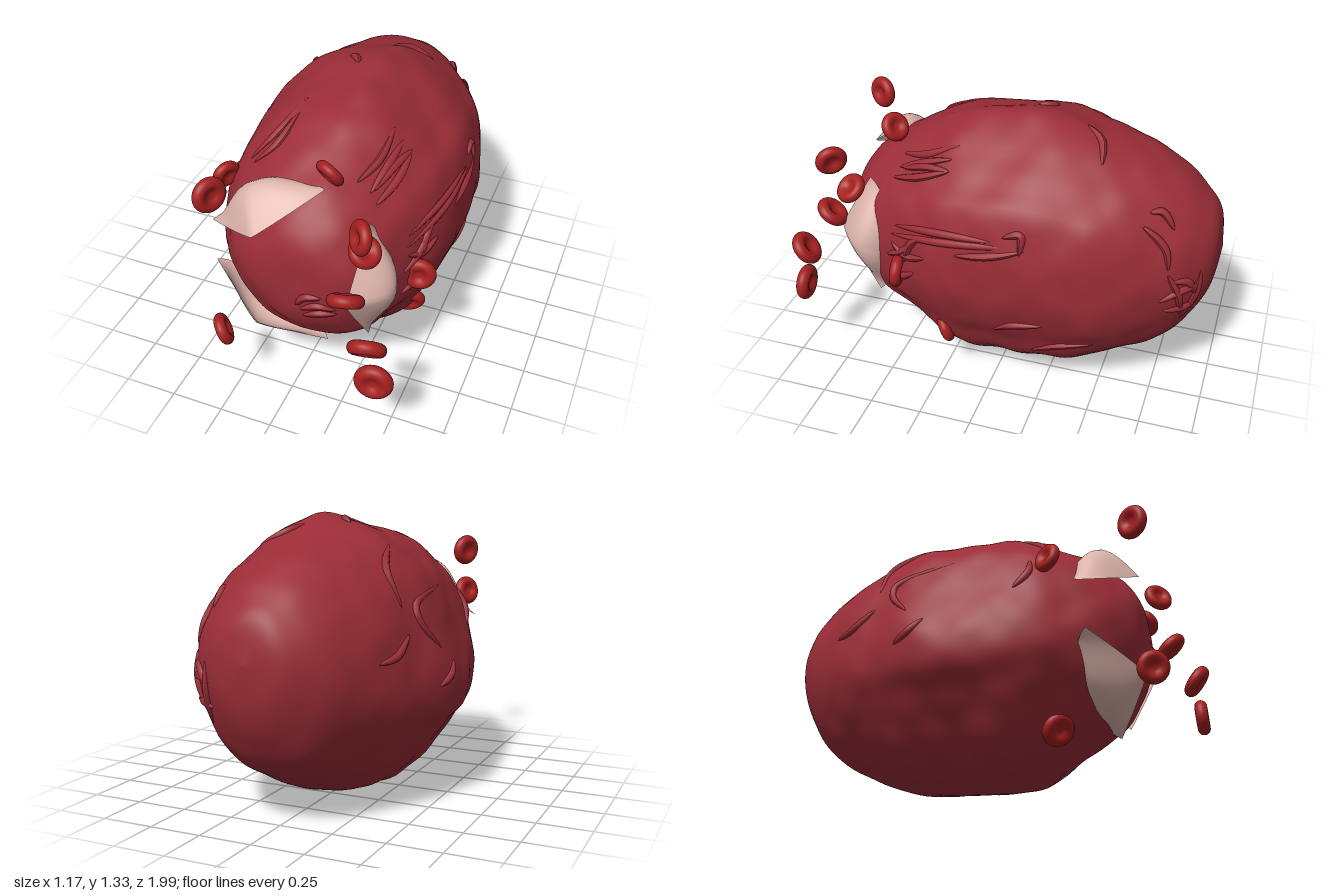
import * as THREE from 'three';

const clotRed = new THREE.MeshStandardMaterial({ color: 0x9b2d37, name: 'clotRed' });
const cellRed = new THREE.MeshStandardMaterial({ color: 0xa62020, name: 'cellRed' });
const flapPink = new THREE.MeshStandardMaterial({ color: 0xdeb6ad, name: 'flapPink', side: THREE.DoubleSide });

const CY = 0.67;

// Even lumps in all directions
const lumps = (x, y, z, f) => Math.sin(f * x + 1) * Math.cos(f * y)
  + Math.sin(f * y + 2) * Math.cos(f * z) + Math.sin(f * z + 3) * Math.cos(f * x);

// Lumpy mass: an uneven outline round the middle, easing to ellipses at the ends
function makeBody() {
  const outline = new THREE.CatmullRomCurve3([
    [0.585, 0.67], [0.568, 0.85], [0.51, 1.03], [0.42, 1.12], [0.31, 1.21], [0.12, 1.335], [-0.02, 1.31],
    [-0.19, 1.25], [-0.3, 1.18], [-0.4, 1.08], [-0.49, 0.88], [-0.545, 0.72], [-0.582, 0.58], [-0.565, 0.45],
    [-0.49, 0.345], [-0.42, 0.24], [-0.3, 0.1], [-0.19, 0.02], [0, 0.01], [0.13, 0.035], [0.29, 0.085],
    [0.4, 0.18], [0.47, 0.32], [0.54, 0.47],
  ].map(([x, y]) => new THREE.Vector3(x / 0.585, (y - CY) / 0.665, 0)), true);
  // z, left x, right x, bottom y, top y
  const stations = [
    [0.785, 0.06, 0.07, 0.67, 0.68], [0.765, -0.13, 0.22, 0.5, 0.87], [0.7, -0.25, 0.33, 0.37, 0.98],
    [0.6, -0.36, 0.41, 0.25, 1.07], [0.4, -0.49, 0.49, 0.125, 1.19], [0.2, -0.55, 0.56, 0.02, 1.28],
    [0, -0.575, 0.575, 0.01, 1.315], [-0.2, -0.565, 0.575, 0.025, 1.325], [-0.4, -0.505, 0.55, 0.06, 1.27],
    [-0.6, -0.43, 0.48, 0.145, 1.2], [-0.8, -0.32, 0.37, 0.26, 1.09], [-0.9, -0.23, 0.28, 0.39, 1.0],
    [-0.97, -0.13, 0.18, 0.54, 0.91], [-0.995, 0.02, 0.03, 0.74, 0.75],
  ];
  const centres = new THREE.CatmullRomCurve3(stations.map(([z, l, r, b, t]) =>
    new THREE.Vector3((l + r) / 2, (b + t) / 2, z)), false, 'catmullrom');
  const sizes = new THREE.CatmullRomCurve3(stations.map(([, l, r, b, t]) =>
    new THREE.Vector3((r - l) / 2, (t - b) / 2, 0)), false, 'catmullrom');
  const rings = 104, sides = 120, pos = [], index = [];
  for (let i = 0; i <= rings; i++) {
    const c = centres.getPoint(i / rings), s = sizes.getPoint(i / rings);
    const uneven = Math.exp(-Math.pow((c.z + 0.03) / 0.45, 2));
    for (let j = 0; j < sides; j++) {
      const o = outline.getPoint(j / sides);
      o.setLength(1 + (o.length() - 1) * uneven);
      const x = c.x + o.x * s.x, y = c.y + o.y * s.y, z = c.z;
      const lump = 0.0038 * lumps(x, y, z, 13) + 0.0022 * lumps(y, z, x, 27);
      const k = 1 + lump / Math.max(0.3, s.x);
      pos.push(c.x + o.x * s.x * k, c.y + o.y * s.y * k, z + lump * 0.4);
      if (i < rings) {
        const a = i * sides + j, b = i * sides + (j + 1) % sides;
        index.push(a, a + sides, b, b, a + sides, b + sides);
      }
    }
  }
  // Close both tips
  for (let j = 1; j < sides - 1; j++) {
    const e = rings * sides;
    index.push(0, j, j + 1, e, e + j + 1, e + j);
  }
  const g = new THREE.BufferGeometry();
  g.setAttribute('position', new THREE.Float32BufferAttribute(pos, 3));
  g.setIndex(index);
  g.computeVertexNormals();
  return new THREE.Mesh(g, clotRed);
}

// Tapered strand lying along a curve
function makeStrand(points, radius) {
  const curve = new THREE.CatmullRomCurve3(points);
  const n = 20, m = 8, g = new THREE.TubeGeometry(curve, n, radius, m);
  const p = g.attributes.position, v = new THREE.Vector3();
  for (let i = 0; i <= n; i++) {
    const c = curve.getPointAt(i / n);
    const k = Math.max(0.05, Math.pow(Math.sin(Math.PI * i / n), 0.55));
    for (let j = 0; j <= m; j++) {
      const q = i * (m + 1) + j;
      v.fromBufferAttribute(p, q).sub(c).multiplyScalar(k).add(c);
      p.setXYZ(q, v.x, v.y, v.z);
    }
  }
  g.computeVertexNormals();
  return new THREE.Mesh(g, clotRed);
}

// Cupped triangular flap, pointed at both corners and at its free edge
function makeFlap() {
  const n = 32, m = 14, pos = [], index = [];
  for (let i = 0; i <= n; i++) {
    const s = (i / n) * 2 - 1, free = 1 - Math.pow(Math.abs(s), 1.1);
    const cup = Math.pow(1 - s * s, 2), back = Math.pow(1 - s * s, 0.8);
    for (let j = 0; j <= m; j++) {
      const u = j / m;
      const r0 = 0.32 - 0.035 * free, r1 = 0.32 + 0.06 * cup;
      const z0 = 0.61 + 0.19 * free, z1 = 0.61 - 0.11 * back;
      pos.push(r0 + (r1 - r0) * u + 0.11 * cup * Math.sin(Math.PI * u), s * 0.32, z0 + (z1 - z0) * u);
      if (i < n && j < m) {
        const a = i * (m + 1) + j, b = a + m + 1;
        index.push(a, a + 1, b, b, a + 1, b + 1);
      }
    }
  }
  const g = new THREE.BufferGeometry();
  g.setAttribute('position', new THREE.Float32BufferAttribute(pos, 3));
  g.setIndex(index);
  g.computeVertexNormals();
  return g;
}

// Round cell of radius 1 with a dimple on each face
function makeCell() {
  const half = [[0.001, 0.12], [0.22, 0.15], [0.45, 0.29], [0.68, 0.35], [0.9, 0.24]];
  const pts = [...half.map(([r, y]) => new THREE.Vector2(r, -y)), new THREE.Vector2(1, 0),
    ...half.reverse().map(([r, y]) => new THREE.Vector2(r, y))];
  return new THREE.LatheGeometry(new THREE.SplineCurve(pts).getPoints(36), 32);
}

export function createModel() {
  const model = new THREE.Group();
  const body = makeBody();
  body.name = 'body';
  model.add(body);

  // Strands: 2D paths dropped onto the body from one side
  const ray = new THREE.Raycaster();
  const drop = {
    right: (z, y) => [[3, y, z], [-1, 0, 0]],
    left: (z, y) => [[-3, y, z], [1, 0, 0]],
    top: (x, z) => [[x, 4, z], [0, -1, 0]],
    front: (x, y) => [[x, y, 3], [0, 0, -1]],
  };
  const strands = {
    right: [
      [[0.5, 1.0], [0.35, 1.05], [0.2, 1.11]], [[0.48, 1.04], [0.34, 1.1], [0.2, 1.15]],
      [[0.47, 0.78], [0.2, 0.84], [-0.18, 0.89]], [[0.45, 0.83], [0.2, 0.88], [-0.05, 0.9]],
      [[0.12, 0.8], [-0.04, 0.83], [-0.2, 0.88]], [[-0.1, 0.93], [-0.18, 0.95], [-0.18, 0.86]],
      [[0.4, 0.66], [0.35, 0.78], [0.28, 0.84]], [[0.47, 0.74], [0.38, 0.7], [0.28, 0.73]],
      [[0.5, 0.53], [0.42, 0.57], [0.34, 0.63]], [[0.5, 0.66], [0.4, 0.72], [0.32, 0.8]],
      [[-0.04, 0.38], [-0.12, 0.44], [-0.28, 0.47]], [[-0.2, 0.24], [-0.32, 0.3], [-0.5, 0.34]],
      [[-0.67, 0.98], [-0.74, 0.92], [-0.78, 0.87], [-0.8, 0.78]],
      [[-0.77, 0.62], [-0.86, 0.66], [-0.94, 0.65]], [[-0.8, 0.76], [-0.85, 0.64], [-0.86, 0.5]],
      [[-0.93, 0.74], [-0.92, 0.62], [-0.86, 0.46]], [[-0.79, 0.56], [-0.87, 0.55], [-0.92, 0.54]],
      [[-0.82, 0.72], [-0.88, 0.7], [-0.92, 0.6]],
    ],
    left: [
      [[0, 1.0], [-0.3, 0.93], [-0.3, 0.86], [-0.2, 0.74]], [[-0.62, 0.72], [-0.52, 0.74], [-0.4, 0.82]],
      [[0.3, 0.78], [0.36, 0.86], [0.36, 0.95]], [[-0.25, 0.57], [-0.17, 0.61], [-0.1, 0.67]],
    ],
    top: [
      [[-0.42, -0.4], [-0.33, -0.37], [-0.28, -0.22]], [[0.08, -0.35], [0.14, -0.43], [0.25, -0.46]],
      [[-0.07, -0.18], [-0.03, -0.15], [0, -0.1]], [[0.28, -0.8], [0.27, -0.74], [0.3, -0.69]],
      [[-0.31, 0.42], [-0.21, 0.34], [-0.14, 0.16]], [[-0.28, 0.45], [-0.19, 0.41], [-0.14, 0.26]],
      [[0.22, 0.48], [0.27, 0.34], [0.28, 0.18]], [[0.29, 0.46], [0.33, 0.33], [0.37, 0.2]],
    ],
    front: [
      [[0.05, 0.58], [0.1, 0.64], [0.17, 0.65]], [[0.07, 0.56], [0.15, 0.6], [0.23, 0.58]],
      [[0.08, 0.52], [0.15, 0.55], [0.23, 0.55]],
    ],
  };
  const strandGroup = new THREE.Group();
  strandGroup.name = 'surfaceStrands';
  for (const [side, paths] of Object.entries(strands)) for (const path of paths) {
    const hits = path.map(([a, b]) => {
      const [from, dir] = drop[side](a, b);
      ray.set(new THREE.Vector3(...from), new THREE.Vector3(...dir));
      return ray.intersectObject(body)[0]?.point;
    }).filter(Boolean);
    if (hits.length < 2) continue;
    const strand = makeStrand(hits, 0.019);
    strand.name = 'strand';
    strandGroup.add(strand);
  }
  model.add(strandGroup);

  // Three flaps around the front end
  const flap = makeFlap();
  for (let i = 0; i < 3; i++) {
    const mesh = new THREE.Mesh(flap, flapPink);
    mesh.name = 'flap';
    mesh.position.set(0.01, CY, 0);
    mesh.rotation.z = i * Math.PI * 2 / 3;
    model.add(mesh);
  }

  // Cells: position, axis, radius
  const cell = makeCell(), up = new THREE.Vector3(0, 1, 0);
  [
    [[-0.3, 1.11, 0.82], [0.87, 0.1, 0.45], 0.08], [[-0.43, 0.93, 0.45], [0.85, -0.2, 0.45], 0.07],
    [[0.13, 1.16, 0.56], [-0.4, -0.5, 0.7], 0.07], [[0.355, 1.06, 0.79], [-0.7, 0.22, 0.65], 0.075],
    [[0.345, 0.92, 0.71], [0.55, 0.75, 0.35], 0.075], [[0.31, 0.745, 0.84], [0.15, -0.75, 0.6], 0.082],
    [[0.44, 0.6, 0.93], [0.15, -0.6, 0.75], 0.085], [[0.5, 0.615, 0.43], [0.2, 0.1, 0.97], 0.078],
    [[0.475, 0.42, 0.935], [0.1, 0.05, 1], 0.087], [[0.405, 0.255, 0.24], [0.4, -0.33, 0.85], 0.075],
    [[-0.275, 0.385, 0.86], [-0.8, -0.35, 0.5], 0.075], [[-0.215, 0.185, 0.41], [-0.5, -0.55, 0.65], 0.078],
  ].forEach(([p, axis, r]) => {
    const mesh = new THREE.Mesh(cell, cellRed);
    mesh.name = 'bloodCell';
    mesh.position.set(...p);
    mesh.quaternion.setFromUnitVectors(up, new THREE.Vector3(...axis).normalize());
    mesh.scale.setScalar(r);
    model.add(mesh);
  });
  return model;
}
